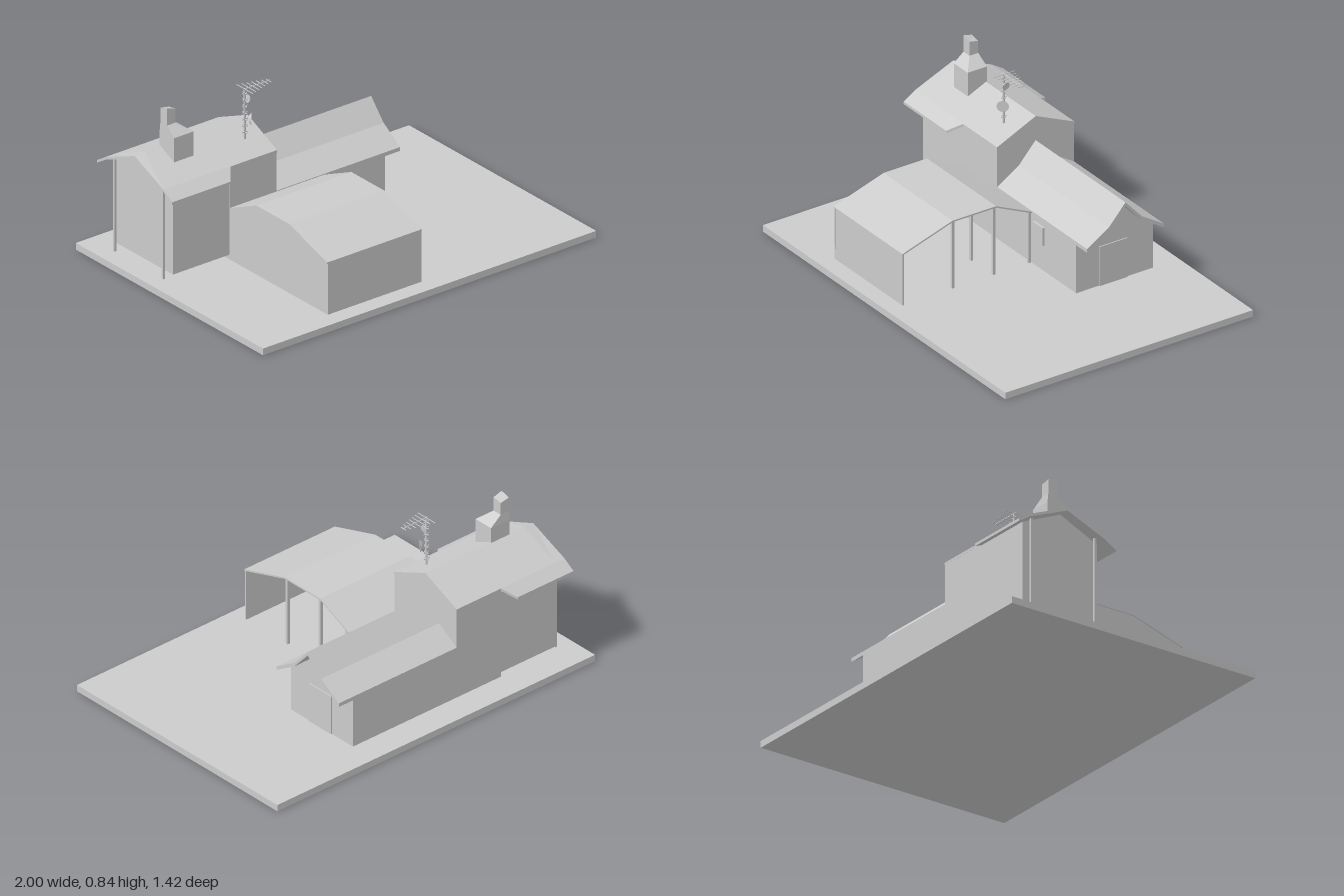
import * as THREE from 'three';

const GROUND = 0.035;
const RIDGE_Z = -0.34;

export function createModel() {
  const group = new THREE.Group();
  const mat = new THREE.MeshStandardMaterial({ color: 0xcccccc, flatShading: true, side: THREE.DoubleSide });

  function add(name, geometry, x = 0, y = 0, z = 0, parent = group) {
    const mesh = new THREE.Mesh(geometry, mat);
    mesh.name = name;
    mesh.position.set(x, y, z);
    parent.add(mesh);
    return mesh;
  }

  // Box given by its limits on each axis
  function box(name, x0, x1, y0, y1, z0, z1, parent) {
    return add(name, new THREE.BoxGeometry(x1 - x0, y1 - y0, z1 - z0),
      (x0 + x1) / 2, (y0 + y1) / 2, (z0 + z1) / 2, parent);
  }

  // Outline of [z, y] points extruded along x
  function extrudeX(name, points, x0, x1) {
    const shape = new THREE.Shape(points.map(([z, y]) => new THREE.Vector2(-z, y)));
    const geo = new THREE.ExtrudeGeometry(shape, { depth: x1 - x0, bevelEnabled: false });
    geo.rotateY(Math.PI / 2);
    return add(name, geo, x0);
  }

  // Closed skin through equal-length rings of [x, y, z], with end caps
  function loft(name, rings) {
    const n = rings[0].length, pos = [];
    const tri = (a, b, c) => pos.push(...a, ...b, ...c);
    for (let i = 0; i < rings.length - 1; i++) {
      for (let j = 0; j < n; j++) {
        const k = (j + 1) % n, A = rings[i], B = rings[i + 1];
        tri(A[j], A[k], B[k]);
        tri(A[j], B[k], B[j]);
      }
    }
    // Caps join the upper half of each ring to its lower half
    for (const [ring, flip] of [[rings[0], true], [rings[rings.length - 1], false]]) {
      for (let j = 0; j < n / 2 - 1; j++) {
        const [a, b, c, d] = [ring[j], ring[j + 1], ring[n - 2 - j], ring[n - 1 - j]];
        if (flip) { tri(a, c, b); tri(a, d, c); } else { tri(a, b, c); tri(a, c, d); }
      }
    }
    const geo = new THREE.BufferGeometry();
    geo.setAttribute('position', new THREE.Float32BufferAttribute(pos, 3));
    geo.computeVertexNormals();
    return add(name, geo);
  }

  const slab = (top, t) => [...top, ...top.map(([z, y]) => [z, y - t]).reverse()];

  box('ground', -1, 1, 0, GROUND, -0.71, 0.71);

  // Tall house and its side room
  const gable = (base, eave, ridge) =>
    [[-0.56, base], [-0.12, base], [-0.12, eave], [RIDGE_Z, ridge], [-0.56, eave]];
  extrudeX('tallHouseWalls', gable(GROUND, 0.52, 0.618), -0.54, -0.262);
  extrudeX('sideRoomWalls', gable(0.06, 0.508, 0.605).map(([z, y]) => [z === -0.12 ? -0.125 : z, y]), -0.88, -0.54);

  // Tall roof, with wider flared eaves over the side room
  const roofRing = ([x, w, eave, ridge]) => slab([
    [w, eave], [0.22, 0.527], [0, ridge], [-0.22, 0.527], [-w, eave],
  ], 0.014).map(([z, y]) => [x, y, z + RIDGE_Z]);
  loft('tallRoof', [
    [-0.94, 0.285, 0.486, 0.618], [-0.88, 0.285, 0.486, 0.625], [-0.59, 0.285, 0.486, 0.625],
    [-0.54, 0.222, 0.526, 0.625], [-0.26, 0.222, 0.526, 0.625],
  ].map(roofRing));
  for (const z of [-0.53, -0.16]) box('porchPost', -0.915, -0.903, GROUND, 0.52, z - 0.006, z + 0.006);

  // Low wing with a two-pitch roof
  const wingTop = [[-0.56, 0.312], [-0.435, 0.39], [RIDGE_Z, 0.495], [-0.245, 0.39], [-0.12, 0.312]];
  extrudeX('wingRoof', slab(wingTop, 0.02), -0.27, 0.48);
  extrudeX('wingWalls', [[-0.56, GROUND], ...wingTop.map(([z, y]) => [z, y - 0.012]), [-0.12, GROUND]], -0.27, 0.39);
  box('wingDoor', 0.385, 0.396, GROUND, 0.245, -0.41, -0.25);
  box('wingWindow', 0.045, 0.13, 0.175, 0.27, -0.125, -0.108);

  // Carport, open on one side
  const portTop = [[-0.12, 0.308], [0.085, 0.402], [0.335, 0.402], [0.622, 0.312]];
  extrudeX('carportRoof', slab(portTop, 0.008), -0.545, 0.025);
  extrudeX('carportSideWall', [[-0.12, GROUND], ...portTop.map(([z, y]) => [z, y - 0.004]), [0.62, GROUND]], -0.54, -0.532);
  box('carportFrontWall', -0.54, 0.022, GROUND, 0.308, 0.612, 0.62);
  for (const [x, z, top] of [[0.013, 0.327, 0.398], [0.013, 0.093, 0.398], [0.013, -0.112, 0.305], [-0.16, 0.1, 0.398]]) {
    box('carportPost', x - 0.007, x + 0.007, GROUND, top, z - 0.007, z + 0.007);
  }

  // Chimney: base, sloping shoulder and stack with a slanted top
  const square = (x0, x1, z0, z1, y) => [[x0, y, z0], [x0, y, z1], [x1, y, z1], [x1, y, z0]];
  const stackTop = square(-0.785, -0.735, -0.34, -0.29, 0.84);
  stackTop[0][1] = stackTop[2][1] = 0.825;
  stackTop[3][1] = 0.815;
  loft('chimney', [
    square(-0.785, -0.67, -0.345, -0.235, 0.575),
    square(-0.785, -0.67, -0.345, -0.235, 0.705),
    square(-0.785, -0.735, -0.34, -0.29, 0.75),
    stackTop,
  ]);

  // Roof aerial: mast, rungs, boom with shrinking elements, two dishes
  const aerial = new THREE.Group();
  aerial.name = 'aerial';
  aerial.position.set(-0.365, 0, -0.23);
  group.add(aerial);
  box('mast', -0.004, 0.004, 0.56, 0.84, -0.004, 0.004, aerial);
  for (let i = 0; i < 7; i++) {
    const y = 0.61 + i * 0.034;
    box('rung', -0.016, 0.016, y - 0.002, y + 0.002, -0.002, 0.002, aerial);
    box('rung', -0.002, 0.002, y - 0.002, y + 0.002, -0.016, 0.016, aerial);
  }
  box('boom', -0.01, 0.15, 0.833, 0.838, -0.002, 0.002, aerial);
  for (let i = 0; i < 7; i++) {
    const x = i * 0.024, half = 0.062 - i * 0.007;
    box('element', x - 0.0015, x + 0.0015, 0.834, 0.837, -half, half, aerial);
  }
  const dish = add('dish', new THREE.CylinderGeometry(0.03, 0.016, 0.012, 12).rotateX(Math.PI / 2), 0.017, 0.68, 0.018, aerial);
  dish.rotation.y = 0.9;
  const smallDish = add('smallDish', new THREE.CylinderGeometry(0.02, 0.02, 0.005, 12).rotateZ(Math.PI / 2), 0.016, 0.78, 0, aerial);
  smallDish.rotation.z = -0.15;

  return group;
}
